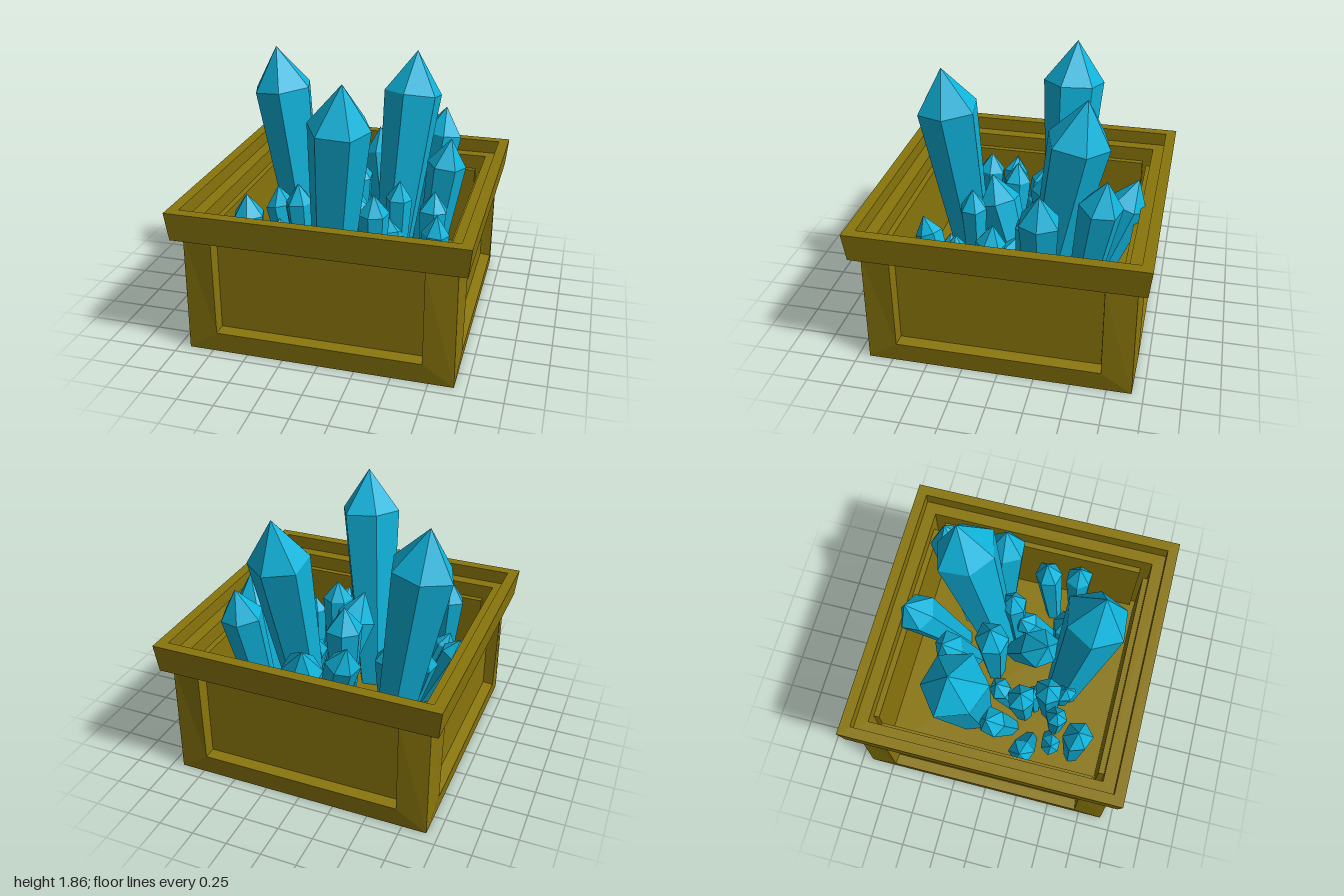
import * as THREE from 'three';

const WOOD = new THREE.MeshStandardMaterial({ color: 0x8a760c, flatShading: true });
const CRYSTAL = new THREE.MeshStandardMaterial({ color: 0x10b4dc, flatShading: true });

function mesh(name, geometry, material) {
  const m = new THREE.Mesh(geometry, material);
  m.name = name;
  return m;
}

// Square solid swept from a [half width, height] profile
function squareLathe(profile) {
  const points = profile.map(([r, y]) => new THREE.Vector2(r * Math.SQRT2, y));
  return new THREE.LatheGeometry(points, 4, Math.PI / 4);
}

// Joins successive loops of points; optionally closes the last loop with a face
function loft(loops, capEnd) {
  const n = loops[0].length;
  const index = [];
  for (let k = 0; k < loops.length - 1; k++) {
    for (let i = 0; i < n; i++) {
      const a = k * n + i, b = k * n + (i + 1) % n;
      index.push(a, b, b + n, a, b + n, a + n);
    }
  }
  const last = (loops.length - 1) * n;
  if (capEnd) for (let i = 1; i < n - 1; i++) index.push(last, last + i, last + i + 1);
  const g = new THREE.BufferGeometry();
  g.setAttribute('position', new THREE.Float32BufferAttribute(loops.flat(2), 3));
  g.setIndex(index);
  const flat = g.toNonIndexed();
  flat.computeVertexNormals();
  return flat;
}

// Rectangle with separate widths and depths at its bottom and top
function rect(wLow, yLow, zLow, wHigh, yHigh, zHigh) {
  return [[-wLow, yLow, zLow], [wLow, yLow, zLow], [wHigh, yHigh, zHigh], [-wHigh, yHigh, zHigh]];
}

// Six-sided shard widening from its base to a shoulder, then a pointed tip
function crystalGeometry(tip, base, radius, turn) {
  const length = tip.distanceTo(base);
  const shoulder = length - radius * 1.35;
  const ring = (r, y) => Array.from({ length: 6 }, (_, i) => {
    const a = turn - i * Math.PI / 3;
    const k = r * (1 + 0.07 * Math.sin(i * 2.4 + turn * 3));
    return [Math.cos(a) * k, y, Math.sin(a) * k];
  });
  const point = Array.from({ length: 6 }, () => [0, length, 0]);
  const g = loft([ring(radius * 0.56, 0), ring(radius, shoulder), point], false);
  const axis = tip.clone().sub(base).normalize();
  g.applyQuaternion(new THREE.Quaternion().setFromUnitVectors(new THREE.Vector3(0, 1, 0), axis));
  g.translate(base.x, base.y, base.z);
  return g;
}

// tip x, y, z, base x, z, shoulder radius
const LARGE = [
  [-0.65, 1.86, -0.25, -0.41, -0.21, 0.225],
  [0.08, 1.86, 0.57, -0.06, 0.385, 0.22],
  [0.35, 1.84, -0.48, 0.24, -0.17, 0.225],
];
const MEDIUM = [
  [0.55, 1.38, -0.65, 0.41, -0.45, 0.15],
  [0.66, 1.28, -0.23, 0.52, -0.22, 0.145],
  [0.0, 1.12, -0.81, 0.17, -0.47, 0.15],
  [-0.03, 1.12, -0.17, -0.02, -0.15, 0.13],
  [-0.02, 1.03, 0.25, 0.19, -0.04, 0.15],
  [-0.18, 1.0, -0.49, 0.05, -0.33, 0.12],
];
const SMALL = [
  [-0.58, 1.06, 0.6, -0.53, 0.59, 0.11],
  [-0.31, 1.05, 0.32, -0.25, 0.34, 0.1],
  [-0.38, 0.95, 0.14, -0.31, 0.16, 0.105],
  [-0.31, 0.8, -0.06, -0.26, 0.08, 0.085],
  [-0.23, 0.65, 0.21, -0.25, 0.23, 0.06],
  [-0.6, 0.85, -0.06, -0.43, 0.09, 0.11],
  [-0.77, 0.8, 0.23, -0.48, 0.25, 0.09],
  [-0.64, 0.72, 0.43, -0.43, 0.38, 0.075],
  [-0.42, 0.82, 0.42, -0.37, 0.41, 0.08],
  [-0.19, 0.7, 0.44, -0.13, 0.42, 0.08],
  [0.32, 0.97, -0.1, 0.31, -0.05, 0.1],
  [0.25, 0.72, -0.02, 0.39, 0.19, 0.09],
  [0.61, 1.0, 0.09, 0.58, 0.18, 0.105],
  [0.67, 0.93, 0.33, 0.64, 0.35, 0.1],
  [0.23, 1.03, 0.33, 0.23, 0.31, 0.105],
  [0.28, 0.8, 0.69, 0.43, 0.45, 0.095],
  [0.46, 0.8, 0.43, 0.45, 0.44, 0.075],
];

export function createModel() {
  const model = new THREE.Group();
  model.name = 'crystalCrate';

  // Underside, flared rim with stepped ledge, inner walls and floor
  const crate = new THREE.Group();
  crate.name = 'crate';
  crate.add(mesh('underside', squareLathe([[0, 0], [0.92, 0]]), WOOD));
  crate.add(mesh('rimAndInterior', squareLathe([
    [0.91, 0.84], [0.98, 0.84], [1, 1.04], [0.925, 1.04], [0.925, 0.94],
    [0.838, 0.94], [0.838, 0.2], [0, 0.2],
  ]), WOOD));

  // Four framed sides with a recessed panel, raised on the inside
  for (let i = 0; i < 4; i++) {
    const side = new THREE.Group();
    side.name = 'side' + (i + 1);
    side.add(mesh('framedPanel', loft([
      rect(0.92, 0, 0.92, 0.915, 0.84, 0.915),
      rect(0.71, 0.15, 0.935, 0.71, 0.832, 0.943),
      rect(0.7, 0.165, 0.86, 0.7, 0.82, 0.86),
    ], true), WOOD));
    const inner = mesh('innerPanel', new THREE.BoxGeometry(1.53, 0.64, 0.045), WOOD);
    inner.position.set(0, 0.51, 0.82);
    side.add(inner);
    side.rotation.y = i * Math.PI / 2;
    crate.add(side);
  }
  model.add(crate);

  // Crystal cluster growing from the floor
  const sets = { largeCrystal: LARGE, mediumCrystal: MEDIUM, smallCrystal: SMALL };
  const cluster = new THREE.Group();
  cluster.name = 'crystals';
  for (const [name, list] of Object.entries(sets)) {
    list.forEach(([x, y, z, bx, bz, r], i) => {
      const g = crystalGeometry(new THREE.Vector3(x, y, z), new THREE.Vector3(bx, 0.17, bz), r, 0.3 + i * 0.7);
      cluster.add(mesh(name + (i + 1), g, CRYSTAL));
    });
  }
  model.add(cluster);
  return model;
}
